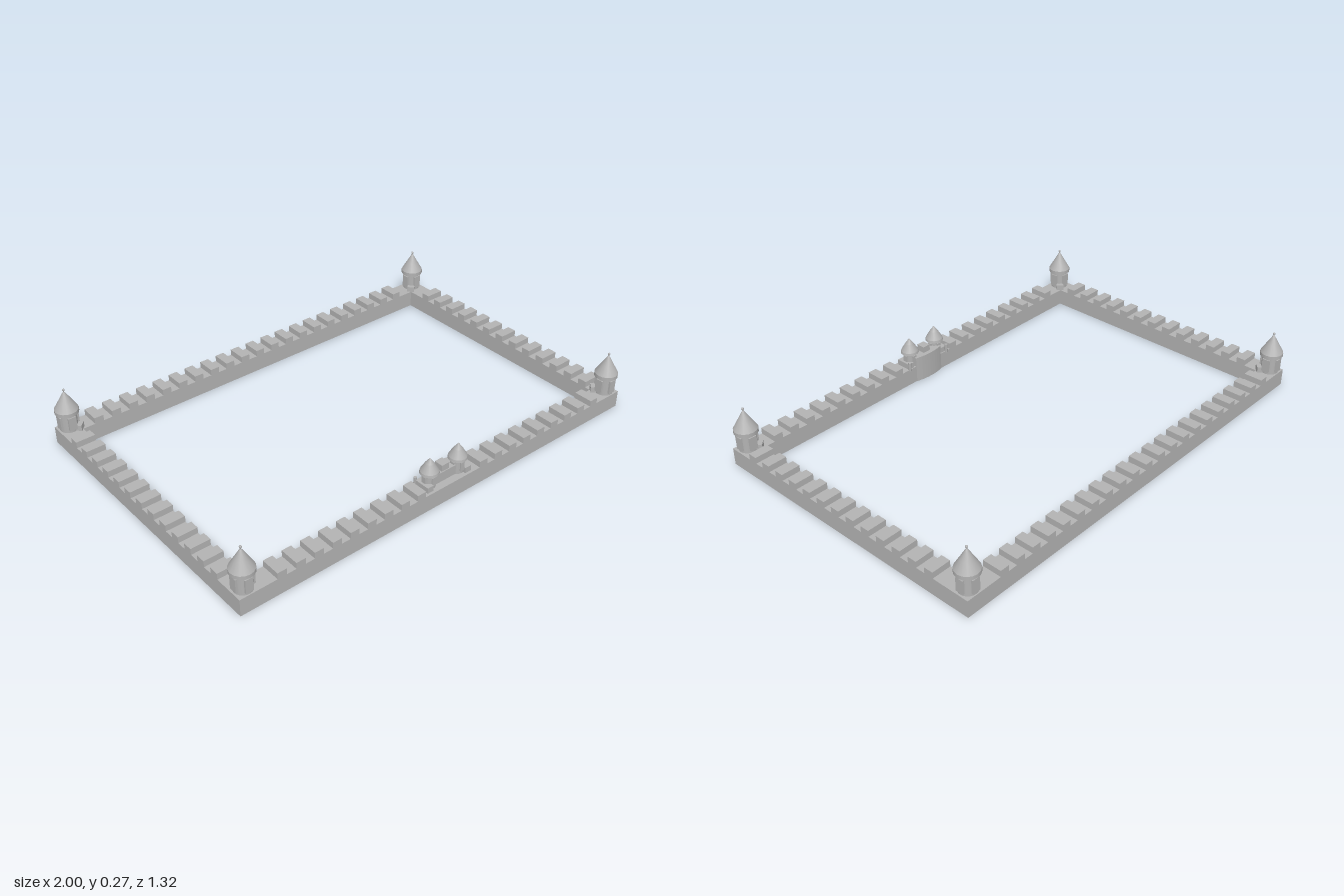
import * as THREE from 'three';

const stone = new THREE.MeshStandardMaterial({ color: 0xb2b2b2 });
stone.name = 'grey stone';

const OUT_X = 0.995, OUT_Z = 0.653, THICK = 0.085, WALL_H = 0.075, TOP = 0.102;
const PITCH = 0.0823, MERLON = 0.0412;
const TOWER_X = 0.95, TOWER_Z = 0.611;

function add(parent, name, geometry, x = 0, y = 0, z = 0, ry = 0) {
  const mesh = new THREE.Mesh(geometry, stone);
  mesh.name = name;
  mesh.position.set(x, y, z);
  mesh.rotation.y = ry;
  parent.add(mesh);
  return mesh;
}

// box whose bottom is at y0 and top at y1
function block(parent, name, w, y0, y1, d, x = 0, z = 0, ry = 0) {
  return add(parent, name, new THREE.BoxGeometry(w, y1 - y0, d), x, (y0 + y1) / 2, z, ry);
}

// revolved solid with hard edges between profile segments
function revolved(parent, name, profile, sides) {
  for (let i = 0; i < profile.length - 1; i++) {
    const pts = [profile[i], profile[i + 1]].map(p => new THREE.Vector2(...p));
    add(parent, name, new THREE.LatheGeometry(pts, sides));
  }
}

// continuous curtain wall with an open courtyard
function curtainWall() {
  const rect = (Path, x, z) => {
    const p = new Path();
    p.moveTo(-x, -z).lineTo(x, -z).lineTo(x, z).lineTo(-x, z).closePath();
    return p;
  };
  const shape = rect(THREE.Shape, OUT_X, OUT_Z);
  shape.holes.push(rect(THREE.Path, OUT_X - THICK, OUT_Z - THICK));
  const geo = new THREE.ExtrudeGeometry(shape, { depth: WALL_H, bevelEnabled: false });
  return geo.rotateX(-Math.PI / 2);
}

// merlons spaced along one wall, skipping towers and gatehouse
function battlement(name, alongX, side, offset) {
  const g = new THREE.Group();
  g.name = name;
  const limit = alongX ? 0.9 : 0.56;
  const line = side * ((alongX ? OUT_Z : OUT_X) - THICK / 2);
  for (let k = -12; k <= 12; k++) {
    const t = offset + k * PITCH;
    if (Math.abs(t) + MERLON / 2 > limit) continue;
    if (alongX && side > 0 && Math.abs(t) < 0.12) continue;
    if (alongX) block(g, 'merlon', MERLON, WALL_H - 0.002, TOP, THICK, t, line);
    else block(g, 'merlon', THICK, WALL_H - 0.002, TOP, MERLON, line, t);
  }
  return g;
}

function cornerTower(sx, sz) {
  const g = new THREE.Group();
  g.name = 'cornerTower';
  revolved(g, 'towerBody', [[0.038, 0.07], [0.038, 0.158]], 20);
  // eave, overhang and pointed roof
  revolved(g, 'towerRoof', [[0.036, 0.152], [0.05, 0.156], [0.05, 0.172], [0.026, 0.213], [0.007, 0.246], [0.003, 0.252]], 16);
  add(g, 'finialStem', new THREE.CylinderGeometry(0.002, 0.003, 0.012, 8), 0, 0.255, 0);
  add(g, 'finialBall', new THREE.SphereGeometry(0.0055, 10, 8), 0, 0.261, 0);
  // window surrounds on the four sides
  for (let i = 0; i < 4; i++) {
    const a = i * Math.PI / 2;
    block(g, 'windowSurround', 0.034, 0.086, 0.146, 0.012, Math.sin(a) * 0.036, Math.cos(a) * 0.036, a);
  }
  // doorway turned towards the courtyard
  const a = Math.atan2(-sx, -sz);
  block(g, 'doorway', 0.034, 0.07, 0.1, 0.044, Math.sin(a) * 0.036, Math.cos(a) * 0.036, a);
  g.position.set(sx * TOWER_X, 0, sz * TOWER_Z);
  return g;
}

function gatehouse() {
  const g = new THREE.Group();
  g.name = 'gatehouse';
  // raised parapet with a bowed inner face
  const plan = new THREE.Shape();
  plan.moveTo(-0.075, -0.62).lineTo(0.075, -0.62).lineTo(0.075, -0.566);
  plan.quadraticCurveTo(0, -0.546, -0.075, -0.566).closePath();
  const geo = new THREE.ExtrudeGeometry(plan, { depth: 0.118, bevelEnabled: false, curveSegments: 10 });
  add(g, 'gateBlock', geo.rotateX(-Math.PI / 2));
  block(g, 'gateMerlon', 0.038, 0.116, 0.146, 0.04, 0, 0.596);

  for (const s of [-1, 1]) {
    const turret = new THREE.Group();
    turret.name = 'gateTurret';
    revolved(turret, 'turretBody', [[0.027, 0.07], [0.027, 0.142]], 16);
    revolved(turret, 'turretRoof', [[0.025, 0.136], [0.04, 0.138], [0.038, 0.148], [0.018, 0.182], [0, 0.206]], 16);
    for (let i = 0; i < 4; i++) {
      const a = i * Math.PI / 2;
      block(turret, 'turretWindow', 0.02, 0.088, 0.128, 0.008, Math.sin(a) * 0.026, Math.cos(a) * 0.026, a);
    }
    turret.position.set(s * 0.075, 0, 0.605);
    g.add(turret);
    // flanking parapet and slim post
    block(g, 'gateParapet', 0.03, 0.07, 0.1, 0.07, s * 0.1, 0.607);
    add(g, 'gatePost', new THREE.CylinderGeometry(0.007, 0.007, 0.04, 8), s * 0.112, 0.09, 0.568);
  }
  return g;
}

export function createModel() {
  const model = new THREE.Group();
  model.name = 'castleWalls';
  add(model, 'curtainWall', curtainWall());
  model.add(
    battlement('frontBattlement', true, 1, 0.01),
    battlement('backBattlement', true, -1, -0.011),
    battlement('leftBattlement', false, 1, 0.0285),
    battlement('rightBattlement', false, -1, 0.0075)
  );
  for (const sx of [-1, 1]) for (const sz of [-1, 1]) model.add(cornerTower(sx, sz));
  model.add(gatehouse());
  return model;
}
